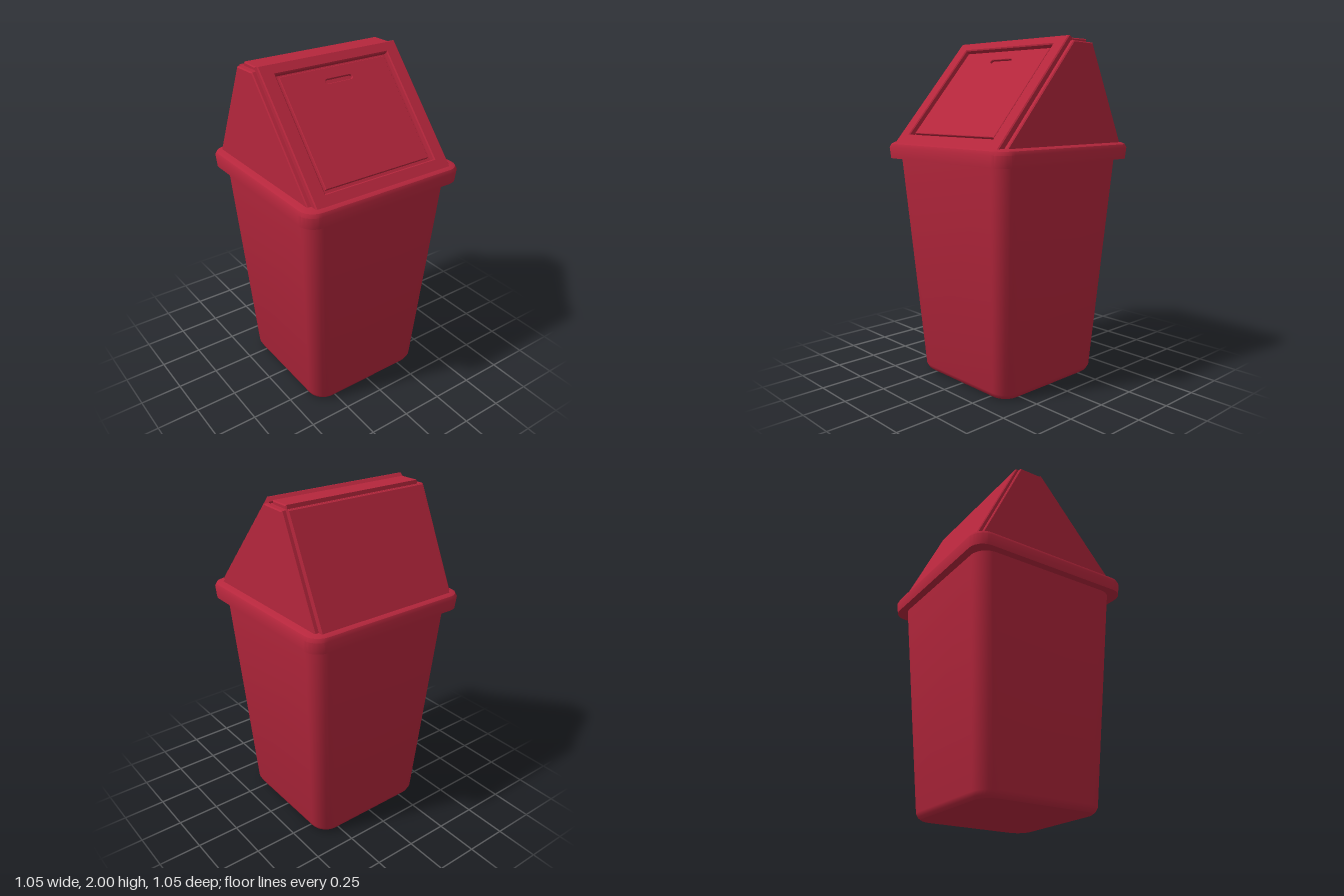
import * as THREE from 'three';
import { toCreasedNormals } from 'three/addons/utils/BufferGeometryUtils.js';

const red = new THREE.MeshStandardMaterial({ color: 0xb5263c });
red.name = 'red plastic';

function add(parent, name, geometry) {
  const mesh = new THREE.Mesh(geometry, red);
  mesh.name = name;
  parent.add(mesh);
  return mesh;
}

// Closed solid through rounded squares, each given as [y, half width, corner radius]
function loft(sections, seg = 8) {
  const pos = [], idx = [], n = 4 * (seg + 1);
  for (const [y, h, r] of sections) {
    for (let c = 0; c < 4; c++) {
      const mid = (c + 0.5) * Math.PI / 2;
      const cx = Math.sign(Math.cos(mid)) * (h - r), cz = Math.sign(Math.sin(mid)) * (h - r);
      for (let s = 0; s <= seg; s++) {
        const a = (c + s / seg) * Math.PI / 2;
        pos.push(cx + r * Math.cos(a), y, cz + r * Math.sin(a));
      }
    }
  }
  const last = sections.length - 1, base = sections.length * n;
  pos.push(0, sections[0][0], 0, 0, sections[last][0], 0);
  for (let j = 0; j < n; j++) {
    const k = (j + 1) % n;
    for (let i = 0; i < last; i++) {
      const a = i * n + j, b = i * n + k;
      idx.push(a, a + n, b, b, a + n, b + n);
    }
    idx.push(base, j, k, base + 1, last * n + k, last * n + j);
  }
  const g = new THREE.BufferGeometry();
  g.setAttribute('position', new THREE.Float32BufferAttribute(pos, 3));
  g.setIndex(idx);
  return toCreasedNormals(g, 0.6);
}

const rectPoints = (x, y0, y1) =>
  [[-x, y0], [x, y0], [x, y1], [-x, y1]].map(([a, b]) => new THREE.Vector2(a, b));

// Plate with bevelled edges whose outer face lies at z = front
function plate(shape, thick, front, bevel = 0.006) {
  const g = new THREE.ExtrudeGeometry(shape, {
    depth: thick - 2 * bevel, bevelEnabled: true, bevelSize: bevel,
    bevelThickness: bevel, bevelOffset: -bevel, bevelSegments: 1, curveSegments: 8,
  });
  return g.translate(0, 0, front - thick + bevel);
}

// Side outline given as [z, y], extruded across the width
function acrossWidth(points, half) {
  const shape = new THREE.Shape(points.map(([z, y]) => new THREE.Vector2(-z, y)));
  return new THREE.ExtrudeGeometry(shape, {
    depth: 2 * half - 0.012, bevelEnabled: true, bevelSize: 0.006,
    bevelThickness: 0.006, bevelOffset: -0.006, bevelSegments: 1,
  }).translate(0, 0, -half + 0.006).rotateY(Math.PI / 2);
}

export function createModel() {
  const model = new THREE.Group();
  model.name = 'swingTopBin';

  // Tapered bin and overhanging rim
  add(model, 'body', loft([
    [0, 0.36, 0.09], [0.012, 0.375, 0.1], [0.035, 0.385, 0.1], [1.33, 0.476, 0.1],
  ]));
  add(model, 'rim', loft([
    [1.31, 0.519, 0.09], [1.375, 0.524, 0.09], [1.395, 0.515, 0.085], [1.405, 0.498, 0.08],
  ], 6));

  // Hood core under the outer plates
  add(model, 'hoodCore', acrossWidth(
    [[0.464, 1.382], [-0.046, 1.968], [-0.202, 1.964], [-0.473, 1.382]], 0.475));
  add(model, 'hoodTop', acrossWidth(
    [[-0.07, 1.94], [-0.07, 1.985], [-0.188, 1.985], [-0.198, 1.94]], 0.44));

  // Sloping front: local y runs up the slope, local z points outward
  const front = new THREE.Group();
  front.name = 'hoodFront';
  front.position.set(0, 1.405, 0.49);
  front.rotation.x = -Math.atan2(0.525, 0.595);
  model.add(front);

  const frame = new THREE.Shape(rectPoints(0.45, -0.02, 0.793));
  frame.holes.push(new THREE.Path(rectPoints(0.366, 0.065, 0.73).reverse()));
  add(front, 'doorFrame', plate(frame, 0.04, 0));

  // Swing door with a slim finger slot
  const door = new THREE.Shape(rectPoints(0.345, 0.085, 0.718));
  const slot = new THREE.Path();
  slot.absarc(0.075, 0.64, 0.012, Math.PI / 2, -Math.PI / 2, true);
  slot.absarc(-0.075, 0.64, 0.012, -Math.PI / 2, Math.PI / 2, true);
  slot.closePath();
  door.holes.push(slot);
  add(front, 'swingDoor', plate(door, 0.022, -0.016, 0.003));

  // Sloping back plate
  const back = new THREE.Group();
  back.name = 'hoodBack';
  back.position.set(0, 1.405, -0.488);
  back.rotation.set(Math.atan2(0.268, 0.565), Math.PI, 0);
  back.rotation.order = 'XYZ';
  model.add(back);
  add(back, 'backPanel', plate(new THREE.Shape(rectPoints(0.45, -0.02, 0.625)), 0.028, 0));

  return model;
}
